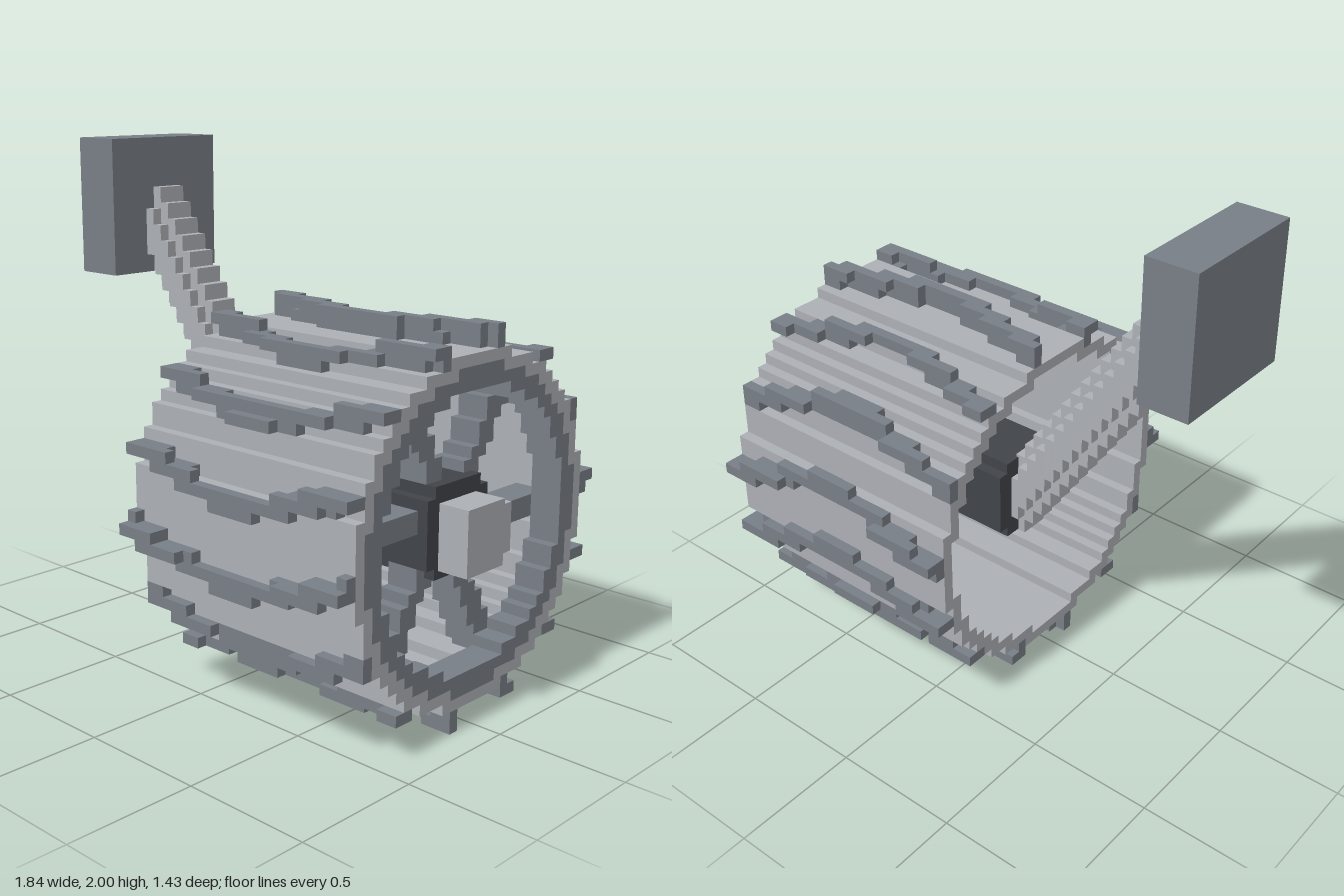
import * as THREE from 'three';

const H = 0.042;            // voxel size across the wheel
const HX = 0.0424;          // voxel size along the axle
const X0 = -0.185, NX = 25, N = 34;
const CY = 0.714;           // axle height
const MID = X0 + (NX * HX) / 2;

const mat = (name, color) => {
  const m = new THREE.MeshStandardMaterial({ color, flatShading: true });
  m.name = name;
  return m;
};

// Builds only the exposed faces of the cells for which inside(x, y, z) holds
// (y and z are measured from the axle).
function voxelMesh(name, material, inside) {
  const at = (i, j, k) =>
    i >= 0 && i < NX && j >= 0 && j < N && k >= 0 && k < N &&
    inside(X0 + (i + 0.5) * HX, (j + 0.5 - N / 2) * H, (k + 0.5 - N / 2) * H);
  const pos = [];
  const size = [HX, H, H], origin = [X0, CY - (N * H) / 2, -(N * H) / 2];
  for (let i = 0; i < NX; i++) for (let j = 0; j < N; j++) for (let k = 0; k < N; k++) {
    if (!at(i, j, k)) continue;
    for (let a = 0; a < 3; a++) for (const s of [0, 1]) {
      const n = [i, j, k];
      n[a] += s ? 1 : -1;
      if (at(...n)) continue;
      const b = (a + 1) % 3, c = (a + 2) % 3;
      const corner = (p, q) => {
        const v = [i, j, k];
        v[a] += s; v[b] += p; v[c] += q;
        return v.map((t, d) => origin[d] + t * size[d]);
      };
      const q = [corner(0, 0), corner(1, 0), corner(1, 1), corner(0, 1)];
      if (!s) q.reverse();
      for (const t of [0, 1, 2, 0, 2, 3]) pos.push(...q[t]);
    }
  }
  const g = new THREE.BufferGeometry();
  g.setAttribute('position', new THREE.Float32BufferAttribute(pos, 3));
  g.computeVertexNormals();
  const mesh = new THREE.Mesh(g, material);
  mesh.name = name;
  return mesh;
}

// Box given by its lower and upper corners
function box(name, material, lo, hi) {
  const g = new THREE.BoxGeometry(hi[0] - lo[0], hi[1] - lo[1], hi[2] - lo[2]);
  const mesh = new THREE.Mesh(g, material);
  mesh.position.set((lo[0] + hi[0]) / 2, (lo[1] + hi[1]) / 2, (lo[2] + hi[2]) / 2);
  mesh.name = name;
  return mesh;
}

export function createModel() {
  const light = mat('light grey', 0xacafb4);
  const mid = mat('slate grey', 0x787e86);
  const dark = mat('charcoal', 0x404449);

  const model = new THREE.Group();
  model.name = 'wheelAssembly';
  const wheel = new THREE.Group();
  wheel.name = 'wheel';
  model.add(wheel);

  // Hollow tyre drum
  wheel.add(voxelMesh('tyre', light, (x, y, z) => {
    const r = Math.hypot(y, z);
    return r > 0.582 && r < 0.637;
  }));

  // Fourteen chevron treads, swept round the drum towards the middle
  const step = 360 / 14;
  wheel.add(voxelMesh('treads', mid, (x, y, z) => {
    const r = Math.hypot(y, z);
    if (r < 0.637 || r > 0.705) return false;
    const u = Math.abs(x - MID) / 0.53;
    const sweep = 10 * Math.min(1, (1 - u) / 0.82);
    const angle = (Math.atan2(y, z) * 180) / Math.PI + 4 + sweep;
    const off = angle - step * Math.round(angle / step);
    return Math.abs(off) < 2.7;
  }));

  // Rim ring at the outer end
  wheel.add(voxelMesh('rim', mid, (x, y, z) => {
    const r = Math.hypot(y, z);
    return x > 0.74 && r > 0.515 && r <= 0.582;
  }));

  // Six spokes, set slightly off the radial line
  wheel.add(voxelMesh('spokes', mid, (x, y, z) => {
    const r = Math.hypot(y, z);
    if (x < 0.62 || x > 0.74 || r < 0.183 || r > 0.58) return false;
    for (let k = 0; k < 6; k++) {
      const a = ((-2 + 60 * k) * Math.PI) / 180;
      const along = -z * Math.cos(a) + y * Math.sin(a);
      const across = z * Math.sin(a) + y * Math.cos(a);
      if (along > 0 && Math.abs(across + 0.02) < 0.04) return true;
    }
    return false;
  }));

  // Hub inside the drum and its end cap
  wheel.add(voxelMesh('hub', dark, (x, y, z) => x > -0.06 && x < 0.79 && Math.hypot(y, z) < 0.183));
  wheel.add(box('axleCap', light, [0.76, 0.577, -0.1], [0.915, 0.82, 0.105]));
  wheel.add(box('axleCapSide', light, [0.76, 0.62, -0.14], [0.915, 0.8, -0.1]));

  // Stepped strut sloping from the mount to the hub
  const arm = new THREE.Group();
  arm.name = 'strut';
  for (let x = -0.72; x < -0.05; x += H) {
    const y = 0.915 - 1.45 * (x + H / 2 + 0.205);
    const lo = y - 0.175, hi = y + 0.175;
    arm.add(box('strutCore', light, [x, lo, -0.06], [x + H, hi, 0.06]));
    for (const s of [-1, 1]) {
      arm.add(box('strutSide', light,
        [x, lo + 2 * H, s > 0 ? 0.06 : -0.1], [x + H, hi - 2 * H, s > 0 ? 0.1 : -0.06]));
    }
  }
  model.add(arm);

  // Mounting block
  model.add(box('mountBlock', mid, [-0.92, 1.47, -0.265], [-0.72, 2, 0.265]));
  return model;
}
